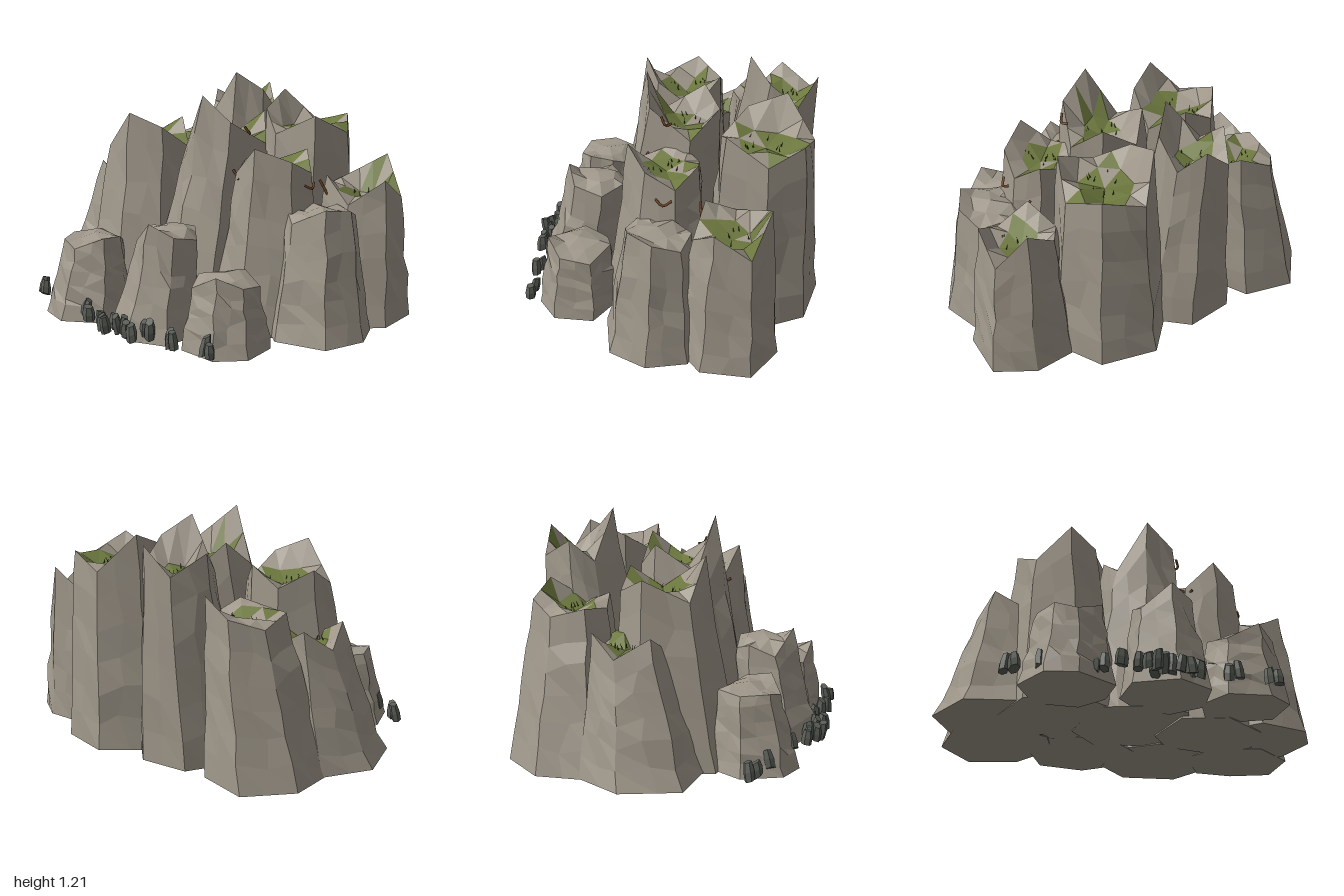
import * as THREE from 'three';

const mat = (name, color) => Object.assign(new THREE.MeshStandardMaterial({ color }), { name });

// seeded random in -1..1
function makeRandom(seed) {
  let s = seed * 7919 + 17;
  return () => {
    s = (s * 16807) % 2147483647;
    return (s / 2147483647) * 2 - 1;
  };
}

// name, base [x, z, radius], top [x, z, radius], rim [low, peak, direction of the peak in degrees]
const MOSSY_PILLARS = [
  ['backRightPillar', [-0.63, -0.36, 0.3], [-0.52, -0.39, 0.19], [0.77, 0.9, -60]],
  ['backInnerPillar', [-0.18, -0.41, 0.28], [-0.19, -0.52, 0.17], [0.97, 1.22, 70]],
  ['backTallPillar', [0.27, -0.48, 0.31], [0.28, -0.5, 0.23], [0.94, 1.12, 200]],
  ['backLeftPillar', [0.68, -0.4, 0.27], [0.69, -0.42, 0.19], [0.66, 0.85, -78]],
  ['rightPillar', [-0.7, 0.03, 0.3], [-0.63, -0.06, 0.17], [0.63, 0.76, 21]],
  ['frontRightPillar', [-0.38, 0.1, 0.32], [-0.39, 0.04, 0.21], [0.86, 1.05, 77]],
  ['frontCentrePillar', [0.03, 0.07, 0.31], [0.09, -0.05, 0.2], [0.91, 1.18, 90]],
  ['frontLeftPillar', [0.42, 0.01, 0.28], [0.42, -0.03, 0.18], [0.83, 0.96, 80]],
];
const BARE_PILLARS = [
  ['leftPillar', [0.73, -0.03, 0.26], [0.71, -0.05, 0.17], [0.61, 0.7, 50]],
  ['frontRightBoulder', [-0.38, 0.52, 0.22], [-0.37, 0.49, 0.15], [0.39, 0.45, 28]],
  ['frontCentreBoulder', [0.09, 0.5, 0.22], [0.1, 0.42, 0.15], [0.48, 0.6, 85]],
  ['frontLeftBoulder', [0.5, 0.43, 0.21], [0.49, 0.42, 0.16], [0.34, 0.42, 67]],
];

// craggy pillar: side rings, jagged rim and a mossy bowl or bare dome on top
function pillarGeometry([, base, top, [low, peak, direction]], mossy, seed) {
  const rnd = makeRandom(seed);
  const n = 7, m = n * 2, levels = 6;
  const corner = Array.from({ length: n }, (_, i) => ({
    a: THREE.MathUtils.degToRad(direction) + (i / n) * Math.PI * 2 + rnd() * 0.13,
    r: 1.03 + rnd() * 0.07,
    // one peak, then low and middling corners in turn
    h: i === 0 ? peak : (i % 2 ? low : (low + peak) / 2) + rnd() * 0.025,
    foot: 0.02 + rnd() * 0.01,
  }));
  const at = (c, t) => {
    const q = Math.pow(t, 0.9);
    const mix = (k) => base[k] + (top[k] - base[k]) * q;
    return new THREE.Vector3(
      mix(0) + Math.cos(c.a) * c.r * mix(2), c.foot + (c.h - c.foot) * t, mix(1) + Math.sin(c.a) * c.r * mix(2));
  };
  const rings = [];
  for (let j = 0; j <= levels; j++) {
    const row = [];
    for (let k = 0; k < m; k++) {
      const i = k >> 1, p = at(corner[i], j / levels);
      if (k % 2) p.lerp(at(corner[(i + 1) % n], j / levels), 0.5 + rnd() * 0.12);
      if (j > 0 && j < levels) p.add(new THREE.Vector3(rnd() * 0.009, rnd() * 0.025, rnd() * 0.009));
      row.push(p);
    }
    rings.push(row);
  }
  const stone = [], moss = [];
  for (let j = 0; j < levels; j++) {
    for (let k = 0; k < m; k++) {
      const a = rings[j][k], b = rings[j][(k + 1) % m], c = rings[j + 1][(k + 1) % m], d = rings[j + 1][k];
      stone.push(a, d, c, a, c, b);
    }
  }
  // top: rim slopes, then the middle
  const edge = rings[levels];
  const middle = mossy ? low - 0.02 : (low + peak) / 2 + 0.02;
  const centre = new THREE.Vector3(top[0], middle, top[1]);
  const inner = corner.map((c, i) => {
    const p = edge[2 * i].clone().lerp(centre, 0.45 + rnd() * 0.12);
    p.y = middle + (mossy ? 0.03 + rnd() * 0.035 : -0.02 + rnd() * 0.015);
    return p;
  });
  for (let i = 0; i < n; i++) {
    const i2 = (i + 1) % n;
    const a = edge[2 * i], b = edge[2 * i + 1], c = edge[(2 * i + 2) % m];
    // moss climbs the back of the bowl
    const climbing = mossy && Math.sin(corner[i].a) < -0.6;
    (climbing ? moss : stone).push(b, inner[i2], c);
    stone.push(a, inner[i], b);
    (climbing || (mossy && i % 3 === seed % 3) ? moss : stone).push(b, inner[i], inner[i2]);
    (mossy && i !== seed % n ? moss : stone).push(inner[i], centre, inner[i2]);
  }
  const under = new THREE.Vector3(base[0], 0.01, base[1]);
  for (let k = 0; k < m; k++) stone.push(rings[0][k], rings[0][(k + 1) % m], under);
  const geo = new THREE.BufferGeometry().setFromPoints([...stone, ...moss]);
  geo.addGroup(0, stone.length, 0);
  geo.addGroup(stone.length, moss.length, 1);
  geo.computeVertexNormals();
  return geo;
}

// small faceted stone
function pebbleGeometry(rnd) {
  const geo = new THREE.CylinderGeometry(0.02, 0.026, 0.08, 6, 2).toNonIndexed();
  const p = geo.attributes.position;
  const tilt = rnd() * 0.5, wide = 1.05 + rnd() * 0.2, tall = 1 + rnd() * 0.15;
  for (let i = 0; i < p.count; i++) {
    const x = p.getX(i), y = p.getY(i), z = p.getZ(i);
    const bulge = Math.abs(y) < 0.01 ? 1.2 : 1;
    p.setXYZ(i, x * bulge * wide, y * tall + x * tilt * 1.5 + z * tilt, z * bulge);
  }
  geo.computeVertexNormals();
  return geo;
}

export function createModel() {
  const model = new THREE.Group();
  model.name = 'rockyCliff';
  const stone = mat('stone', 0x9f978a);
  const moss = mat('moss', 0x6c773e);
  const darkStone = mat('darkStone', 0x5a5e57);
  const root = mat('root', 0x6e4526);
  const grass = mat('grass', 0x465428);
  const add = (geo, material, name) => {
    const mesh = new THREE.Mesh(geo, material);
    mesh.name = name;
    model.add(mesh);
    return mesh;
  };

  // bare pillar and front boulders
  BARE_PILLARS.forEach((col, i) => add(pillarGeometry(col, false, i + 20), stone, col[0]));

  // mossy pillars with grass tufts
  MOSSY_PILLARS.forEach((col, i) => {
    add(pillarGeometry(col, true, i + 3), [stone, moss], col[0]);
    const rnd = makeRandom(i + 50), [x, z, r] = col[2];
    for (let k = 0; k < 9; k++) {
      const blade = add(new THREE.ConeGeometry(0.004, 0.035, 3), grass, 'grassBlade');
      blade.position.set(x + rnd() * r * 0.45, col[3][0] + 0.01, z + rnd() * r * 0.45);
      blade.rotation.set(rnd() * 0.4, 0, rnd() * 0.4);
    }
  });

  // loose stones in clusters along the front: x, z, count
  const rnd = makeRandom(91);
  const clusters = [[-0.66, 0.6, 2], [-0.52, 0.64, 1], [-0.25, 0.67, 2], [-0.16, 0.74, 1], [-0.04, 0.75, 3],
    [0.02, 0.71, 2], [0.12, 0.73, 3], [0.2, 0.67, 2], [0.38, 0.69, 2], [0.585, 0.65, 2]];
  for (const [x, z, count] of clusters) {
    for (let k = 0; k < count; k++) {
      const offset = (k - (count - 1) / 2) * 0.04;
      const pebble = add(pebbleGeometry(rnd), darkStone, 'looseStone');
      pebble.position.set(x + offset, 0.1 + rnd() * 0.01, z + offset * 0.5 + rnd() * 0.01);
      pebble.rotation.set(rnd() * 0.2, rnd() * 3, rnd() * 0.2);
    }
  }

  // thin roots hanging from the rims: start, end
  const roots = [
    [[-0.23, 0.87, 0.14], [-0.19, 0.76, 0.18]],
    [[0.26, 0.81, 0.1], [0.33, 0.79, 0.15]],
    [[0.56, 0.75, -0.23], [0.6, 0.64, -0.26]],
    [[0.27, 1.03, 0.03], [0.26, 0.99, -0.02]],
    [[0.62, 0.77, -0.02], [0.62, 0.77, -0.1]],
  ];
  for (const ends of roots) {
    const [start, end] = ends.map((p) => new THREE.Vector3(...p));
    const sag = start.clone().lerp(end, 0.5).add(new THREE.Vector3(0.02, -0.02, 0));
    add(new THREE.TubeGeometry(new THREE.CatmullRomCurve3([start, sag, end]), 6, 0.007, 5), root, 'root');
  }
  return model;
}
